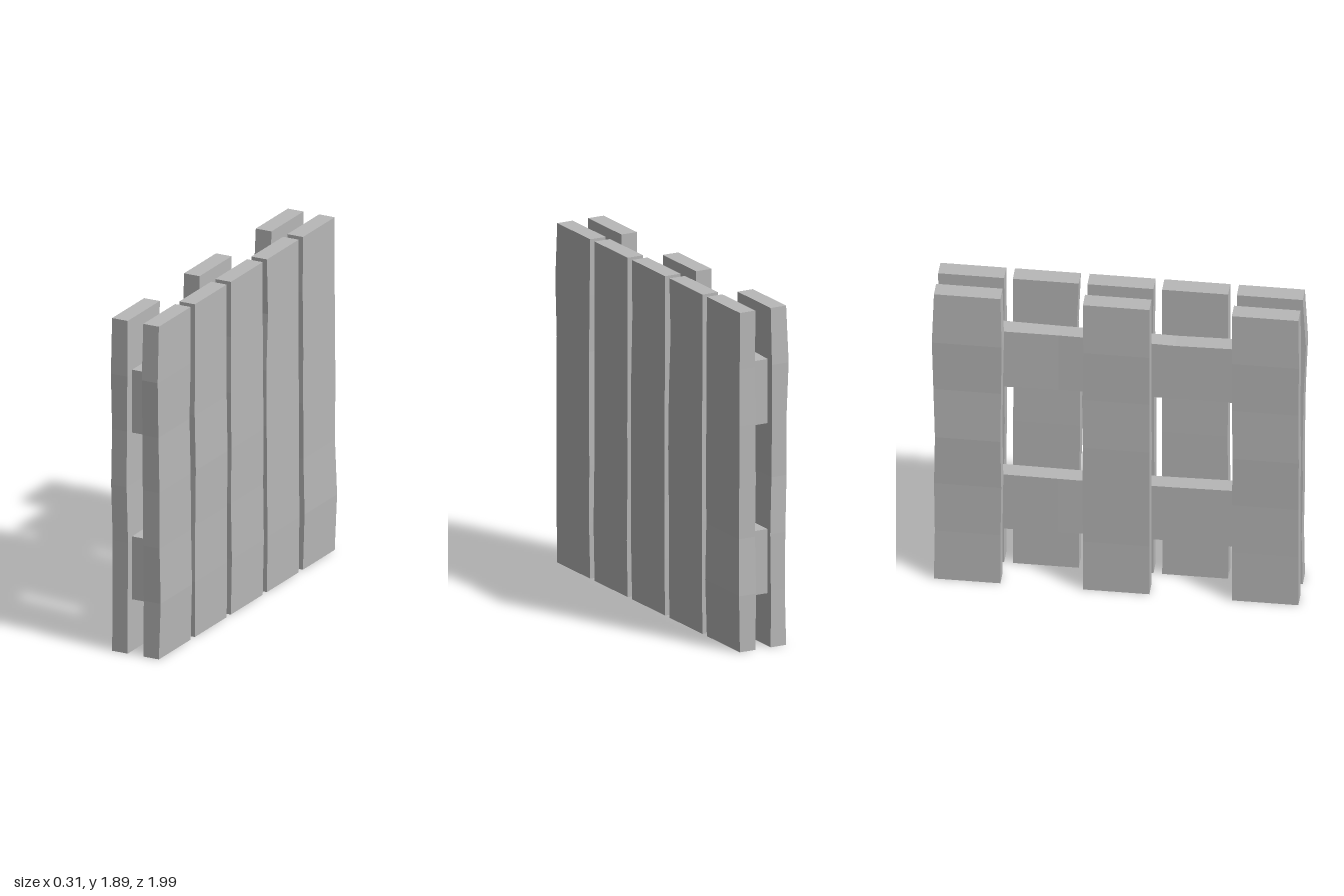
import * as THREE from 'three';

const RINGS = 6; // lengthwise segments of each board

// Upright board; each inner ring holds [+z edge, -z edge, +x face, -x face] shifts in hundredths, bottom to top
function board(name, size, centre, rings, material) {
  const g = new THREE.BoxGeometry(size[0], size[1], size[2], 1, RINGS, 1);
  const p = g.attributes.position;
  for (let i = 0; i < p.count; i++) {
    const ring = Math.round((p.getY(i) / size[1] + 0.5) * RINGS);
    const r = rings[ring - 1];
    if (!r) continue;
    p.setZ(i, p.getZ(i) + (p.getZ(i) > 0 ? r[0] : r[1]) / 100);
    p.setX(i, p.getX(i) + (p.getX(i) > 0 ? r[2] : r[3]) / 100);
  }
  g.computeVertexNormals();
  const mesh = new THREE.Mesh(g, material);
  mesh.name = name;
  mesh.position.set(...centre);
  return mesh;
}

export function createModel() {
  const model = new THREE.Group();
  model.name = 'pallet';
  const wood = new THREE.MeshStandardMaterial({ color: 0xb8b8b8, flatShading: true });
  wood.name = 'greyWood';

  const H = 1.89;

  // Five close-set deck boards
  const deck = [
    [[-0.6, 0, 0.8, 0], [0, 0.3, 0.4, 0], [0, 0.8, 0.4, -0.3], [0.5, 1.3, 0, -0.2], [1.7, 0.4, 0.2, 0]],
    [[0.5, 0.3, 0.4, 0], [0, -0.1, 0.2, 0], [-0.3, -0.2, 0.4, -0.2], [0.2, 0, 0, 0], [0, 0, 0, 0.2]],
    [[0, -0.2, 0.6, 0], [0.5, 0, 0.3, 0], [0.3, 0, 0.5, 0], [0.5, 0, 0.2, -0.2], [-0.3, 0, 0, 0]],
    [[0, 0, 0.4, 0], [0.3, 0, 0.2, 0], [0.8, 0.2, 0.3, -0.2], [0.6, 0.3, 0, 0], [-1.2, 0, 0, 0]],
    [[0, -0.8, 1, 0], [0, 0.3, 0.3, 0], [0.4, 0, 0.4, -0.3], [0, 0, 0.2, 0], [0.3, 0.2, 0, 0]],
  ];
  deck.forEach((rings, i) =>
    model.add(board('deckBoard' + (i + 1), [0.095, H, 0.355], [0.09, H / 2, 0.804 - i * 0.402], rings, wood)));

  // Three spaced boards on the other face
  const base = [
    [[0, 0, 0, 0.4], [0, 0, 0.2, 0.4], [0.3, 0.5, -0.5, -0.4], [0, 0, -0.5, 0], [0.4, 0.2, 0, -0.5]],
    [[0, 0, 0, 0.4], [0, -0.3, 0.3, 0], [0.2, 0, -0.4, -0.4], [0, -0.4, -0.4, 0], [0, 0.3, 0, -0.5]],
    [[0, 0.4, -0.3, 0.6], [0.4, 0, 0.3, 0.5], [0, 0.6, -0.8, -0.6], [0.3, -0.3, -0.6, 0], [0.8, -1, -0.2, -1]],
  ];
  base.forEach((rings, i) =>
    model.add(board('baseBoard' + (i + 1), [0.095, H, 0.358], [-0.1, H / 2, 0.802 - i * 0.802], rings, wood)));

  // Two cross beams between the faces, laid along z (local +z points down)
  const beams = [
    [0.473, [[0, -0.3, 0, 0], [-0.3, 0, 0, 0], [-0.3, 0.4, 0, 0.3], [0, 0, 0, 0], [0.8, -0.5, 0, 0]]],
    [1.42, [[0, -0.9, 0, -0.4], [0.3, -0.3, 0, 0.5], [0, 0, 0, 0.4], [0, 0.6, 0, 0], [0, 0, 0, 0]]],
  ];
  beams.forEach(([y, rings], i) => {
    const beam = board('crossBeam' + (i + 1), [0.093, 1.885, 0.357], [-0.005, y, -0.008], rings, wood);
    beam.rotation.x = Math.PI / 2;
    model.add(beam);
  });

  return model;
}
